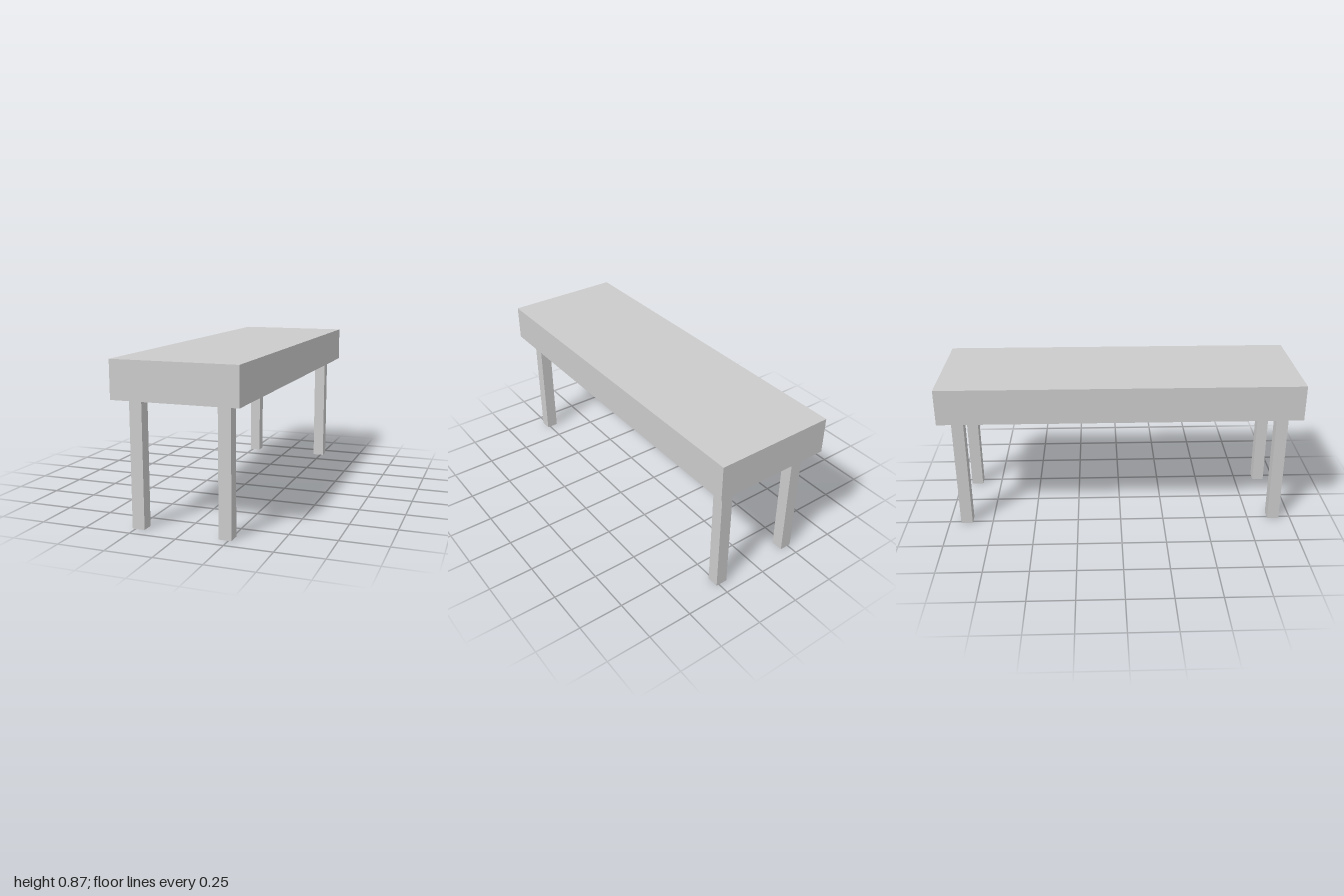
import * as THREE from 'three';

const WIDTH = 2 / 3, LENGTH = 2, THICKNESS = 0.2;
const LEG_HEIGHT = 2 / 3, LEG_SIZE = 1 / 15;
const LEG_X = 0.2333, LEG_Z = 0.9;

export function createModel() {
  const group = new THREE.Group();
  group.name = 'bench';
  const material = new THREE.MeshStandardMaterial({ color: 0xcccccc, flatShading: true });

  // Thick slab resting on the legs
  const seat = new THREE.Mesh(new THREE.BoxGeometry(WIDTH, THICKNESS, LENGTH), material);
  seat.name = 'seat';
  seat.position.y = LEG_HEIGHT + THICKNESS / 2;
  group.add(seat);

  // Four square legs, mirrored across both axes
  const legGeometry = new THREE.BoxGeometry(LEG_SIZE, LEG_HEIGHT, LEG_SIZE);
  for (const [side, sx] of [['Left', 1], ['Right', -1]]) {
    for (const [end, sz] of [['front', 1], ['back', -1]]) {
      const leg = new THREE.Mesh(legGeometry, material);
      leg.name = `${end}${side}Leg`;
      leg.position.set(sx * LEG_X, LEG_HEIGHT / 2, sz * LEG_Z);
      group.add(leg);
    }
  }
  return group;
}
